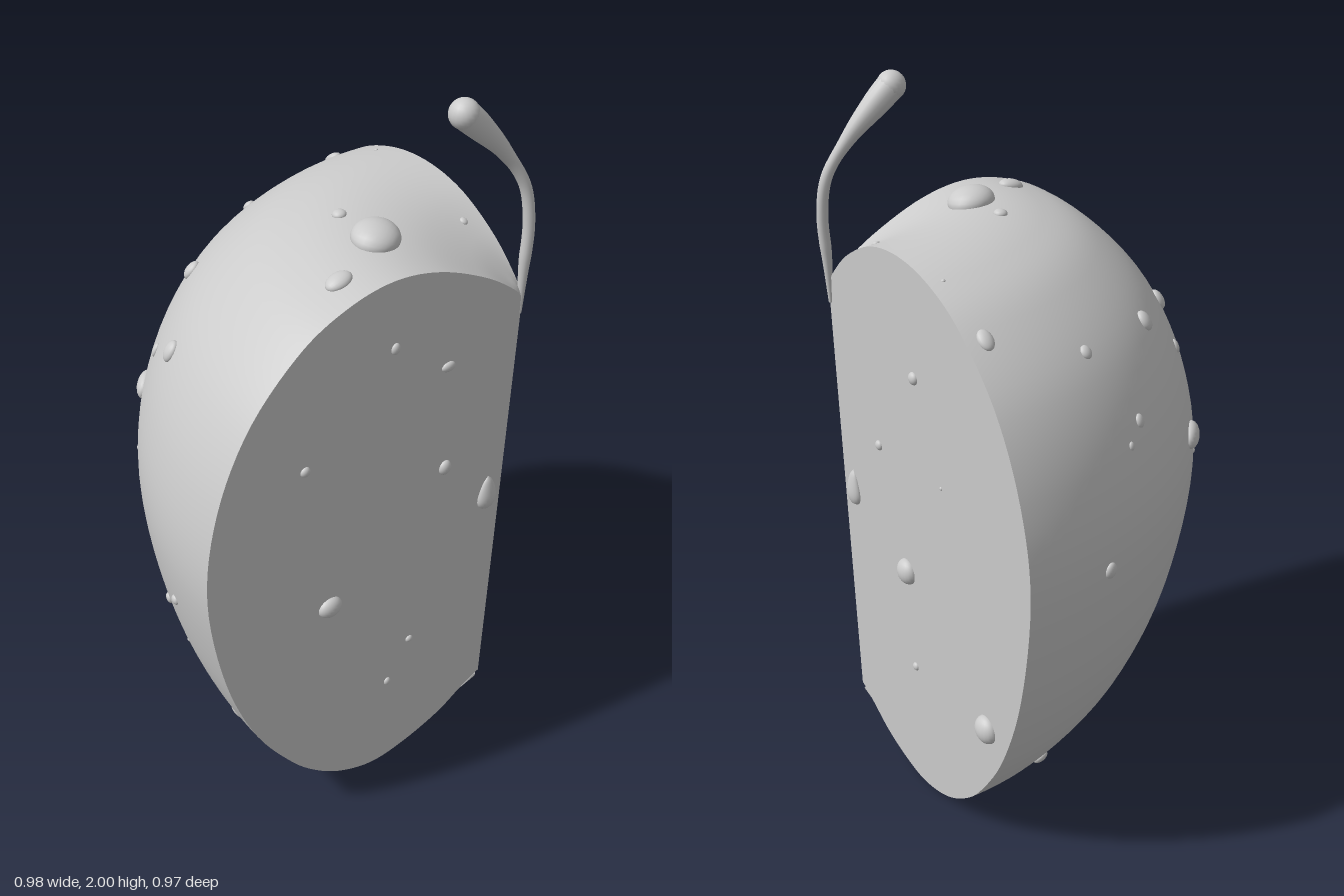
import * as THREE from 'three';
import { ParametricGeometry } from 'three/addons/geometries/ParametricGeometry.js';

const AXIS = 0.46; // the core line runs through x = z = AXIS
const grey = new THREE.MeshStandardMaterial({ color: 0xcccccc });

// Half outlines (radius, height) along the two cuts, from bottom dimple to top dimple
const curve = (pts) => new THREE.SplineCurve(pts.map(([r, y]) => new THREE.Vector2(r, y)));
const frontProfile = curve([
  [0.004, 0.14], [0.07, 0.105], [0.15, 0.056], [0.27, 0.016], [0.39, 0.002], [0.50, 0.036], [0.595, 0.10],
  [0.69, 0.202], [0.81, 0.39], [0.902, 0.64], [0.95, 0.94], [0.92, 1.19], [0.83, 1.40], [0.69, 1.552],
  [0.557, 1.622], [0.42, 1.646], [0.28, 1.62], [0.13, 1.55], [0.03, 1.48], [0.004, 1.45]]);
const sideProfile = curve([
  [0.004, 0.14], [0.07, 0.105], [0.15, 0.06], [0.25, 0.028], [0.36, 0.016], [0.48, 0.046], [0.585, 0.112],
  [0.68, 0.21], [0.80, 0.40], [0.895, 0.66], [0.945, 0.98], [0.913, 1.215], [0.818, 1.42], [0.67, 1.569],
  [0.532, 1.638], [0.39, 1.66], [0.25, 1.638], [0.12, 1.57], [0.03, 1.49], [0.004, 1.45]]);

// Outline at v around the quarter turn, a little fuller midway
function profileAt(t, v) {
  const p = frontProfile.getPoint(t).lerp(sideProfile.getPoint(t), v), bulge = Math.sin(v * Math.PI);
  p.x *= 1 + 0.02 * bulge;
  p.y *= 1 + 0.006 * bulge;
  return p;
}
function skinPoint(t, v, target = new THREE.Vector3()) {
  const p = profileAt(t, v), a = v * Math.PI / 2;
  return target.set(AXIS - p.x * Math.cos(a), p.y, AXIS - p.x * Math.sin(a));
}

function addMesh(parent, name, geometry) {
  const mesh = new THREE.Mesh(geometry, grey);
  mesh.name = name;
  parent.add(mesh);
  return mesh;
}

// Flat cut face bounded by an outline; sign -1 mirrors it in x
function cutFace(profile, sign) {
  const pts = profile.getPoints(110).map((p) => new THREE.Vector2(sign * p.x, p.y));
  pts.push(new THREE.Vector2(0, 1.45), new THREE.Vector2(0, 0.14));
  return new THREE.ShapeGeometry(new THREE.Shape(pts));
}

// Flattened bead resting on a surface with the given normal
const bead = new THREE.SphereGeometry(1, 20, 14);
function addDrop(parent, name, pos, normal, w, h, depth) {
  const drop = addMesh(parent, name, bead);
  drop.position.copy(pos);
  drop.lookAt(pos.clone().add(normal));
  drop.scale.set(w, h, depth);
}

// Finds t in a range where a measure of the outline best meets a value
function findT(v, from, to, measure, value) {
  let best = from, err = Infinity;
  for (let i = 0; i <= 200; i++) {
    const t = from + (to - from) * i / 200;
    const e = Math.abs(measure(profileAt(t, v)) - value);
    if (e < err) { err = e; best = t; }
  }
  return best;
}

function addSkinDrop(parent, t, v, w, h) {
  const p = skinPoint(t, v), d = 0.002;
  const along = skinPoint(t + d, v).sub(skinPoint(t - d, v));
  const around = skinPoint(t, v + d).sub(skinPoint(t, v - d));
  addDrop(parent, 'skinDroplet', p, along.cross(around).normalize(), w, h, Math.min(w, h) * 0.65);
}

// Teardrop pip, blunt end down
function pipGeometry() {
  const pts = [[0, -0.053], [0.018, -0.048], [0.029, -0.032], [0.031, -0.012], [0.025, 0.014], [0.014, 0.04], [0, 0.055]];
  return new THREE.LatheGeometry(curve(pts).getPoints(24).map((p) => p.setX(Math.max(0, p.x))), 20);
}

// Stem: a tube whose rings swell towards the tip
function stemGeometry(path) {
  const rings = 48, sides = 16;
  const geo = new THREE.TubeGeometry(path, rings, 1, sides);
  const pos = geo.attributes.position, p = new THREE.Vector3();
  for (let i = 0; i <= rings; i++) {
    const t = i / rings, c = path.getPointAt(t);
    const radius = 0.006 + 0.009 * Math.min(1, t * 4) + 0.021 * THREE.MathUtils.smoothstep(t, 0.62, 1);
    for (let j = 0; j <= sides; j++) {
      const k = i * (sides + 1) + j;
      p.fromBufferAttribute(pos, k).sub(c).multiplyScalar(radius).add(c);
      pos.setXYZ(k, p.x, p.y, p.z);
    }
  }
  geo.computeVertexNormals();
  return geo;
}

export function createModel() {
  const model = new THREE.Group();
  model.name = 'appleQuarter';

  // Rounded skin and the two flat cuts
  addMesh(model, 'skin', new ParametricGeometry((u, v, target) => skinPoint(u, v, target), 110, 48));
  addMesh(model, 'frontCut', cutFace(frontProfile, -1)).position.set(AXIS, 0, AXIS);
  const sideCut = addMesh(model, 'sideCut', cutFace(sideProfile, 1));
  sideCut.rotation.y = Math.PI / 2;
  sideCut.position.set(AXIS, 0, AXIS);

  // Stem
  const path = new THREE.CatmullRomCurve3([
    [0.46, 1.4, 0.455], [0.463, 1.52, 0.45], [0.468, 1.65, 0.445], [0.453, 1.75, 0.432],
    [0.395, 1.845, 0.41], [0.325, 1.92, 0.395], [0.28, 1.963, 0.388]].map((p) => new THREE.Vector3(...p)));
  const stem = new THREE.Group();
  stem.name = 'stem';
  model.add(stem);
  addMesh(stem, 'stemShaft', stemGeometry(path));
  const tip = addMesh(stem, 'stemTip', bead);
  tip.position.copy(path.getPointAt(1));
  tip.scale.setScalar(0.037);

  // Pips, one on each cut
  const toFront = new THREE.Vector3(0, 0, 1), toSide = new THREE.Vector3(1, 0, 0);
  const pip = pipGeometry();
  for (const [x, y, z, normal] of [[0.412, 0.848, AXIS, toFront], [AXIS, 0.858, 0.405, toSide]]) {
    const mesh = addMesh(model, 'pip', pip);
    mesh.position.set(x, y, z);
    mesh.lookAt(mesh.position.clone().add(normal));
    mesh.scale.z = 0.6;
  }

  // Withered sepals in the bottom dimple
  const up = new THREE.Vector3(0, 1, 0);
  for (let i = 0; i < 5; i++) {
    const a = (i / 4) * Math.PI / 2;
    const sepal = addMesh(model, 'sepal', new THREE.ConeGeometry(0.014, 0.07, 8));
    sepal.position.set(AXIS - 0.012 - 0.028 * Math.cos(a), 0.105, AXIS - 0.012 - 0.028 * Math.sin(a));
    const lean = new THREE.Vector3(-Math.cos(a), i % 2 ? -1.6 : -0.8, -Math.sin(a)).normalize();
    sepal.quaternion.setFromUnitVectors(up, lean);
  }

  // Droplets on the front cut: x, y, half width, half height
  for (const [x, y, w, h] of [
    [0.055, 1.455, 0.013, 0.016], [0.23, 1.333, 0.021, 0.014], [-0.205, 1.208, 0.014, 0.014], [0.248, 1.01, 0.019, 0.022],
    [-0.115, 0.72, 0.036, 0.03], [0.17, 0.44, 0.012, 0.011], [0.1, 0.315, 0.011, 0.013]]) {
    addDrop(model, 'frontDroplet', new THREE.Vector3(x, y, AXIS), toFront, w, h, Math.min(w, h) * 0.75);
  }
  // Droplets on the side cut: z, y, radius
  for (const [z, y, r] of [[0.025, 1.355, 0.017], [0.235, 1.07, 0.014], [-0.085, 1.095, 0.005],
    [0.12, 0.735, 0.037], [-0.265, 0.455, 0.04], [0.105, 0.425, 0.012]]) {
    addDrop(model, 'sideDroplet', new THREE.Vector3(AXIS, y, z), toSide, r, r, r * 0.72);
  }

  // Droplets on the upper skin: x, z, half sizes
  for (const [x, z, w, h] of [
    [0.12, 0.295, 0.068, 0.06], [-0.055, 0.375, 0.026, 0.036], [0.11, 0.165, 0.018, 0.018], [-0.305, 0.045, 0.024, 0.03],
    [-0.27, -0.08, 0.013, 0.02], [-0.11, -0.15, 0.024, 0.028], [0.05, -0.35, 0.014, 0.018], [0.16, -0.28, 0.016, 0.018],
    [0.41, -0.235, 0.02, 0.028], [0.10, -0.385, 0.009, 0.011], [0.42, -0.07, 0.005, 0.005], [0.4, 0.29, 0.01, 0.011]]) {
    const v = Math.atan2(AXIS - z, AXIS - x) / (Math.PI / 2);
    addSkinDrop(model, findT(v, 0.53, 0.99, (p) => p.x, Math.hypot(AXIS - x, AXIS - z)), v, w, h);
  }
  // Droplets lower down: degrees round from the front cut, height, half sizes
  for (const [deg, y, w, h] of [
    [44, 1.09, 0.048, 0.035], [75, 0.97, 0.018, 0.022], [36.6, 0.97, 0.009, 0.009], [12, 0.785, 0.014, 0.014],
    [20, 0.67, 0.014, 0.016], [24, 0.6, 0.009, 0.009], [18, 0.53, 0.007, 0.007], [13, 0.3, 0.034, 0.03],
    [70, 0.18, 0.025, 0.02], [53, 0.26, 0.012, 0.013], [20, 0.14, 0.013, 0.013]]) {
    addSkinDrop(model, findT(deg / 90, 0.22, 0.8, (p) => p.y, y), deg / 90, w, h);
  }
  return model;
}
